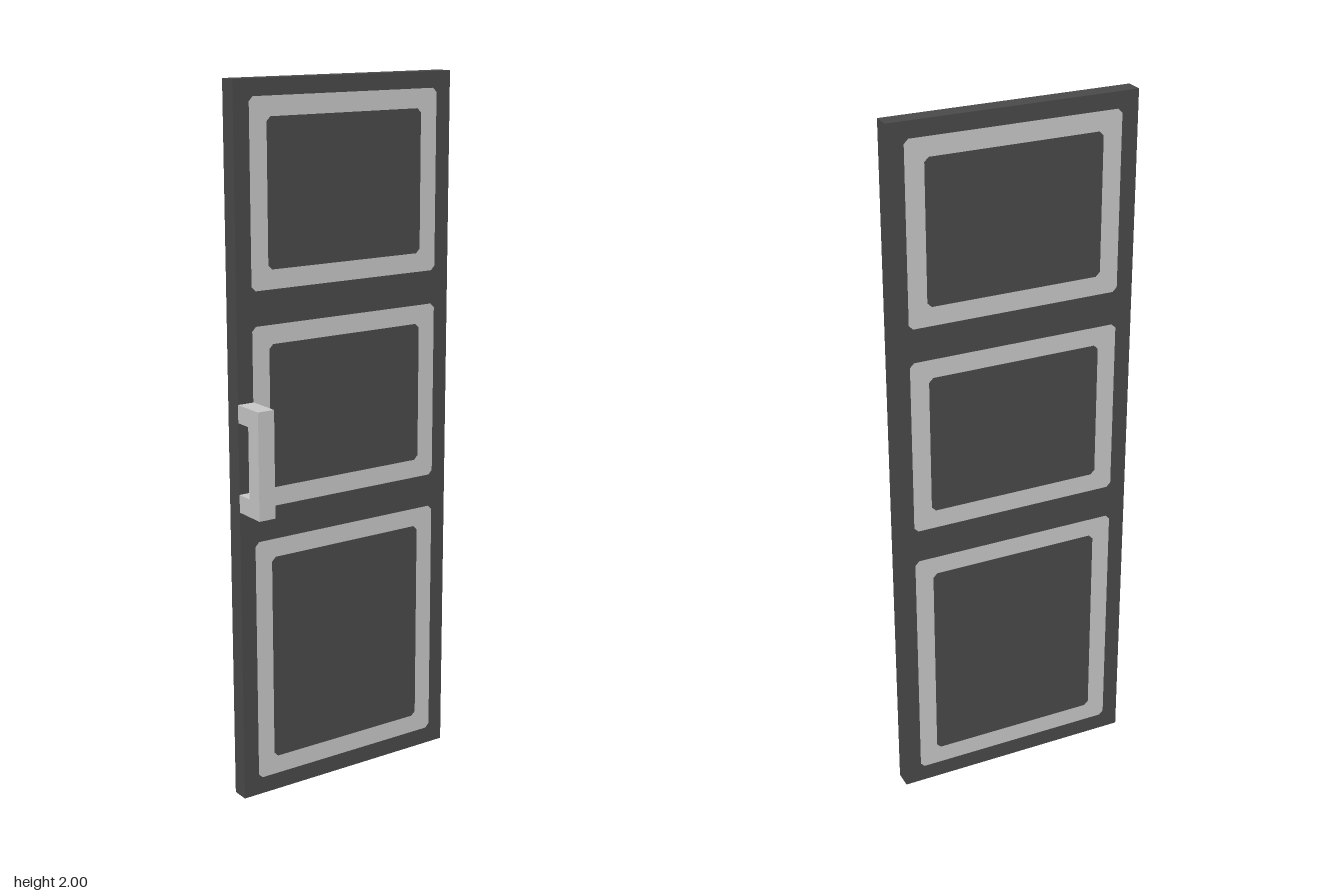
import * as THREE from 'three';

const dark = new THREE.MeshStandardMaterial({ color: 0x4a4a4a });
dark.name = 'dark panel';
const pale = new THREE.MeshStandardMaterial({ color: 0xc9c9c9 });
pale.name = 'pale trim';

// Traces a rectangle with slightly clipped corners
function trace(path, x, y0, y1, c) {
  path.moveTo(-x + c, y0);
  path.lineTo(x - c, y0);
  path.lineTo(x, y0 + c);
  path.lineTo(x, y1 - c);
  path.lineTo(x - c, y1);
  path.lineTo(-x + c, y1);
  path.lineTo(-x, y1 - c);
  path.lineTo(-x, y0 + c);
  path.closePath();
  return path;
}

function box(name, material, size, position) {
  const mesh = new THREE.Mesh(new THREE.BoxGeometry(...size), material);
  mesh.name = name;
  mesh.position.set(...position);
  return mesh;
}

export function createModel() {
  const door = new THREE.Group();
  door.name = 'door';

  // Slab
  door.add(box('slab', dark, [0.7, 2, 0.05], [0, 1, -0.05]));

  // Flat trim outlines on both faces: bottom and top of each
  for (const [y0, y1] of [[0.05, 0.755], [0.85, 1.355], [1.45, 1.955]]) {
    const outline = trace(new THREE.Shape(), 0.303, y0, y1, 0.012);
    outline.holes.push(trace(new THREE.Path(), 0.25, y0 + 0.053, y1 - 0.053, 0.012));
    const geometry = new THREE.ShapeGeometry(outline);
    for (const side of [1, -1]) {
      const trim = new THREE.Mesh(geometry, pale);
      trim.name = side > 0 ? 'frontTrim' : 'backTrim';
      trim.position.z = -0.05 + side * 0.0265;
      if (side < 0) trim.rotation.y = Math.PI;
      door.add(trim);
    }
  }

  // Squared pull handle: bracket profile extruded across its width
  const profile = new THREE.Shape([
    [0.025, 0.85], [-0.075, 0.85], [-0.075, 1.15], [0.025, 1.15],
    [0.025, 1.1], [-0.025, 1.1], [-0.025, 0.9], [0.025, 0.9],
  ].map(([z, y]) => new THREE.Vector2(z, y)));
  const handle = new THREE.Mesh(
    new THREE.ExtrudeGeometry(profile, { depth: 0.05, bevelEnabled: false }), pale);
  handle.name = 'handle';
  handle.rotation.y = Math.PI / 2;
  handle.position.x = -0.35;
  door.add(handle);

  return door;
}
